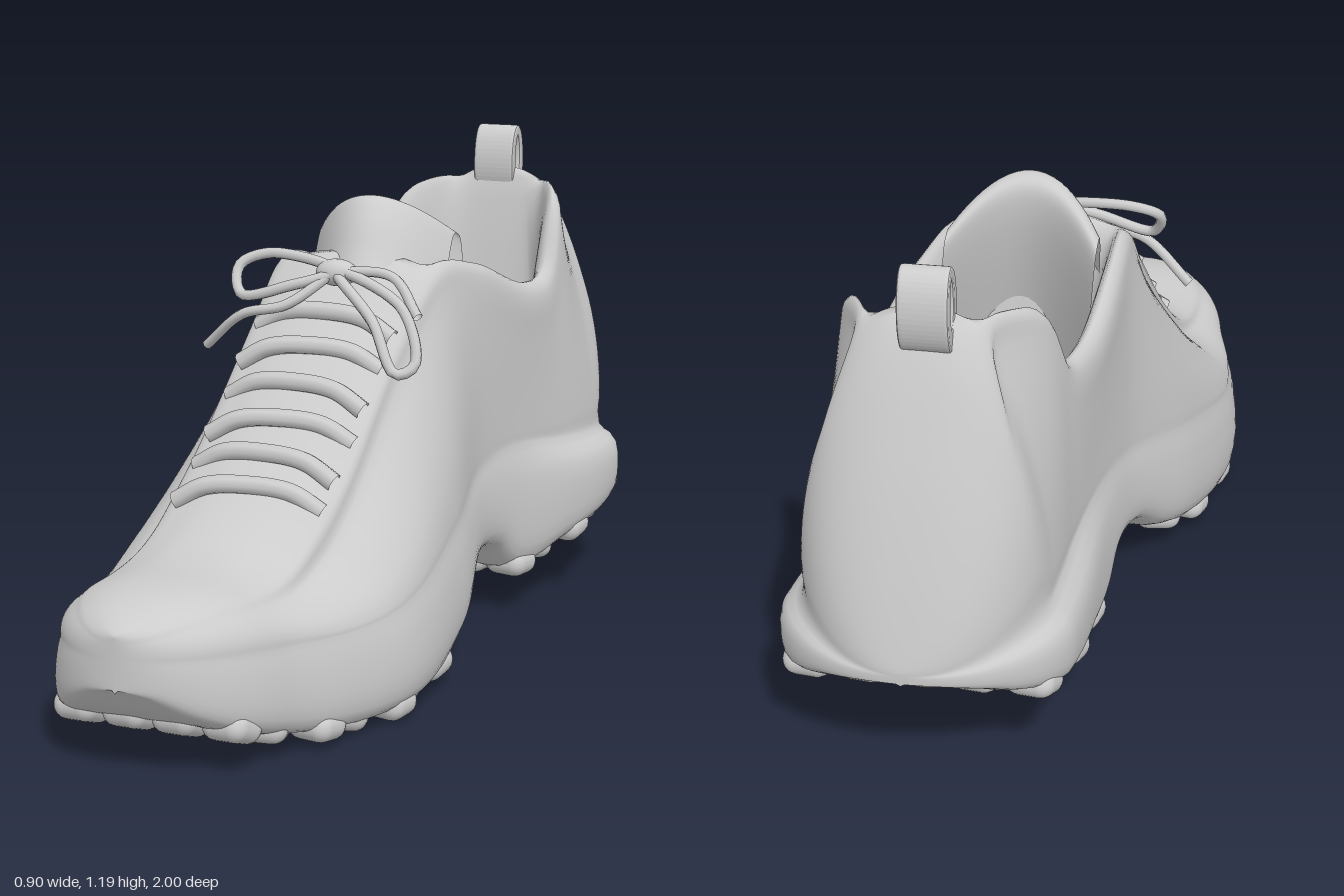
import * as THREE from 'three';
import { RoundedBoxGeometry } from 'three/addons/geometries/RoundedBoxGeometry.js';

const V = (x, y, z) => new THREE.Vector3(x, y, z);
const { lerp, smoothstep } = THREE.MathUtils;
const material = new THREE.MeshStandardMaterial({ color: 0xcccccc, side: THREE.DoubleSide });

// Smooth value along z from a few [z, value] pairs, heel to toe
function profile(...pairs) {
  const cubic = new THREE.CubicInterpolant(pairs.map(p => p[0]), pairs.map(p => p[1]), 1);
  return z => cubic.evaluate(z)[0];
}
const centre = profile([-1, 0.145], [-0.7, 0.125], [-0.2, 0.02], [0.1, -0.03], [0.4, -0.07], [0.75, -0.13], [1, -0.15]);
const soleHalf = profile([-1, 0.315], [-0.7, 0.323], [-0.2, 0.265], [0.1, 0.345], [0.4, 0.375], [0.6, 0.328], [0.75, 0.268], [1, 0.23]);
const topHalf = profile([-1, 0.19], [-0.77, 0.135], [-0.6, 0.228], [-0.4, 0.252], [0.1, 0.2], [0.5, 0.2], [1, 0.14]);
const soleY = profile([-1, 0.33], [-0.9, 0.25], [-0.54, 0.135], [-0.36, 0.11], [-0.28, 0.18], [-0.12, 0.185],
  [0, 0.1], [0.2, 0.035], [0.5, 0.01], [0.75, 0.05], [0.93, 0.135], [1, 0.21]);
const midsoleY = profile([-1, 0.355], [-0.9, 0.39], [-0.6, 0.42], [-0.3, 0.45], [0.1, 0.36], [0.5, 0.26], [1, 0.29]);
const rimY = profile([-1, 0.36], [-0.95, 0.54], [-0.87, 0.79], [-0.77, 1.03], [-0.66, 1.055], [-0.6, 1.01], [-0.54, 0.88],
  [-0.44, 0.85], [-0.2, 0.935], [-0.05, 0.95], [0.1, 0.82], [0.4, 0.53], [0.6, 0.39], [0.9, 0.36], [1, 0.34]);
// Rounding of the plan outline at toe and heel, and how far the foot opening is open
const rounding = z => Math.sqrt(Math.max(0, 1 - (Math.max(0, Math.abs(z) - 0.75) / 0.25) ** 2));
const opening = z => smoothstep(-z, 0.03, 0.16) * (1 - smoothstep(-z, 0.63, 0.75));
const middleY = z => lerp(rimY(z) + 0.04 * rounding(z), 0.38, opening(z));
// How far a section becomes a plain dome, and how much the upper is set in from the sole
const doming = z => Math.max(smoothstep(-z, 0.73, 0.83), 0.8 * smoothstep(z, 0.5, 0.85));
const waist = z => lerp(0.93, 0.83, smoothstep(-z, 0.2, 0.6));

// Closed cross-section: sole, midsole, upper, rim, then instep or inside of the collar
function section(z) {
  const c = centre(z), w = soleHalf(z) * rounding(z), wt = topHalf(z) * rounding(z), wu = w * waist(z);
  const yb = soleY(z), ym = midsoleY(z), yt = rimY(z), yc = middleY(z), open = opening(z);
  const base = yb + Math.min(0.02, (ym - yb) * 0.2), h = ym - base;
  const drop = Math.min(0.06, (yt - ym) * 0.3), top = yt - drop;
  const sole = [[0.45, 0], [0.82, 0], [0.96, 0.1], [1, 0.38], [0.97, 0.78]].map(([f, k]) => [w * f, base + h * k]);
  const upper = [
    ...[0, 0.08, 0.3, 0.55, 0.8].map(t => [lerp(wu, wt, t ** 1.8), lerp(ym, top, t)]),
    [wt, top], [wt * 0.96, yt - drop * 0.3], [wt * 0.86, yt],
    ...[[0.76, 0.1, 0.72, 0.3], [0.7, 0.4, 0.56, 0.6], [0.66, 0.85, 0.42, 0.8], [0.4, 1, 0.22, 0.95]]
      .map(([fo, ko, fc, kc]) => [wt * lerp(fc, fo, open), lerp(yt, yc, lerp(kc, ko, open))]),
  ].map(([x, y], i, all) => {
    const a = i / all.length * Math.PI / 2, d = doming(z);
    return [lerp(x, wu * Math.cos(a) ** 0.85, d), lerp(y, ym + (yc - ym) * Math.sin(a) ** 0.85, d)];
  });
  const side = s => [...sole, ...upper].map(([x, y]) => V(c + s * x, y, z));
  const curve = new THREE.CatmullRomCurve3([V(c, base, z), ...side(1), V(c, yc, z), ...side(-1).reverse()], true);
  return Array.from({ length: 96 }, (_, j) => curve.getPoint(j / 96));
}

// Smooth surface through rows of points; wrap joins the last column to the first
function surface(rows, wrap) {
  const n = rows[0].length, index = [];
  for (let i = 0; i < rows.length - 1; i++) for (let j = 0; j < (wrap ? n : n - 1); j++) {
    const k = (j + 1) % n, a = i * n + j, b = a + n, c = i * n + k, d = c + n;
    index.push(a, b, c, b, d, c);
  }
  const g = new THREE.BufferGeometry().setFromPoints(rows.flat());
  g.setIndex(index);
  g.computeVertexNormals();
  return g;
}

// Padded tongue: a folded path swept in an arc around the ankle
function tongueGeometry() {
  const path = new THREE.CatmullRomCurve3([V(0, 0.86, 0.09), V(0, 0.97, 0.01), V(0, 1.06, -0.045), V(0, 1.1, -0.09),
    V(0, 1.085, -0.13), V(0, 1.0, -0.135), V(0, 0.55, -0.02)]);
  const rows = path.getPoints(32).map(p => Array.from({ length: 21 }, (_, j) => {
    const u = j / 10 - 1;
    return V(0.025 + u * 0.17 - (p.y - 0.9) * 0.08, p.y - 0.1 * u * u, p.z - 0.12 * u * u);
  }));
  return surface(rows, false);
}

export function createModel() {
  const group = new THREE.Group();
  const add = (name, geometry, parent = group) => {
    const m = new THREE.Mesh(geometry, material);
    m.name = name;
    parent.add(m);
    return m;
  };
  const subgroup = name => {
    const g = new THREE.Group();
    g.name = name;
    group.add(g);
    return g;
  };
  const tube = (name, pts, r, parent, closed = false) =>
    add(name, new THREE.TubeGeometry(new THREE.CatmullRomCurve3(pts.map(p => V(...p)), closed), 40, r, 8, closed), parent);

  // Sole and upper in one skin, with denser sections at toe and heel
  const rows = Array.from({ length: 161 }, (_, i) => section(Math.cos(Math.PI * i / 160)));
  add('upperAndMidsole', surface(rows, true));
  add('tongue', tongueGeometry());

  // Tread lugs in staggered rows under forefoot and heel
  const lugs = subgroup('treadLugs');
  const lugRows = (first, count) => {
    for (let row = 0; row < count; row++) {
      const z = first - row * 0.105, odd = row % 2, w = soleHalf(z) * rounding(z);
      const slope = (soleY(z + 0.04) - soleY(z - 0.04)) / 0.08;
      const n = Math.max(3, Math.round(w / 0.06)) - odd;
      for (let k = 0; k < n; k++) {
        const u = k / (n - 1) - 0.5;
        const lug = add('lug', new RoundedBoxGeometry(0.115, 0.07, 0.105, 3, 0.034), lugs);
        lug.position.set(centre(z) + u * (w - 0.06) * (odd ? 1.75 : 1.95), soleY(z) + 0.033, z);
        lug.rotation.set(-Math.atan(slope), odd ? 0.25 : -0.25, 0);
      }
    }
  };
  lugRows(0.83, 8);
  lugRows(-0.4, 5);

  // Lace rows across the instep
  const laces = subgroup('laces');
  for (let i = 0; i < 6; i++) {
    const z = 0.46 - i * 0.07, tilt = i % 2 ? 0.015 : -0.015;
    const pts = [-0.85, -0.5, 0, 0.5, 0.85].map(u => [centre(z) + u * topHalf(z),
      lerp(middleY(z), rimY(z), u * u) + (Math.abs(u) > 0.7 ? -0.015 : 0.006), z + u * tilt]);
    tube('laceRow', pts, 0.022, laces);
  }

  // Bow: knot, two loops and two loose ends
  const knot = add('bowKnot', new THREE.SphereGeometry(0.04, 16, 12), laces);
  knot.position.set(-0.02, 0.94, 0.06);
  knot.scale.set(1.3, 0.8, 0.8);
  const start = [-0.02, 0.945, 0.07];
  tube('leftBowLoop', [start, [0.16, 0.88, 0.12], [0.21, 0.76, 0.17], [0.17, 0.74, 0.19], [0.1, 0.85, 0.15]], 0.013, laces, true);
  tube('rightBowLoop', [start, [-0.2, 0.97, 0.03], [-0.27, 0.94, 0.05], [-0.25, 0.88, 0.09], [-0.12, 0.91, 0.1]], 0.013, laces, true);
  tube('leftLaceEnd', [start, [0.12, 0.94, 0.07], [0.2, 0.86, 0.12]], 0.012, laces);
  tube('rightLaceEnd', [start, [-0.12, 0.87, 0.13], [-0.23, 0.84, 0.13], [-0.34, 0.75, 0.09]], 0.012, laces);

  // Heel pull loop
  const ring = new THREE.Shape().absellipse(0, 0, 0.045, 0.09, 0, Math.PI * 2);
  ring.holes.push(new THREE.Path().absellipse(0, 0.012, 0.024, 0.06, 0, Math.PI * 2, true));
  const loop = add('heelPullLoop', new THREE.ExtrudeGeometry(ring, {
    depth: 0.09, curveSegments: 24, bevelSize: 0.005, bevelThickness: 0.008, bevelSegments: 2 }));
  loop.rotation.y = Math.PI / 2;
  loop.position.set(0.07, 1.1, -0.775);
  return group;
}
